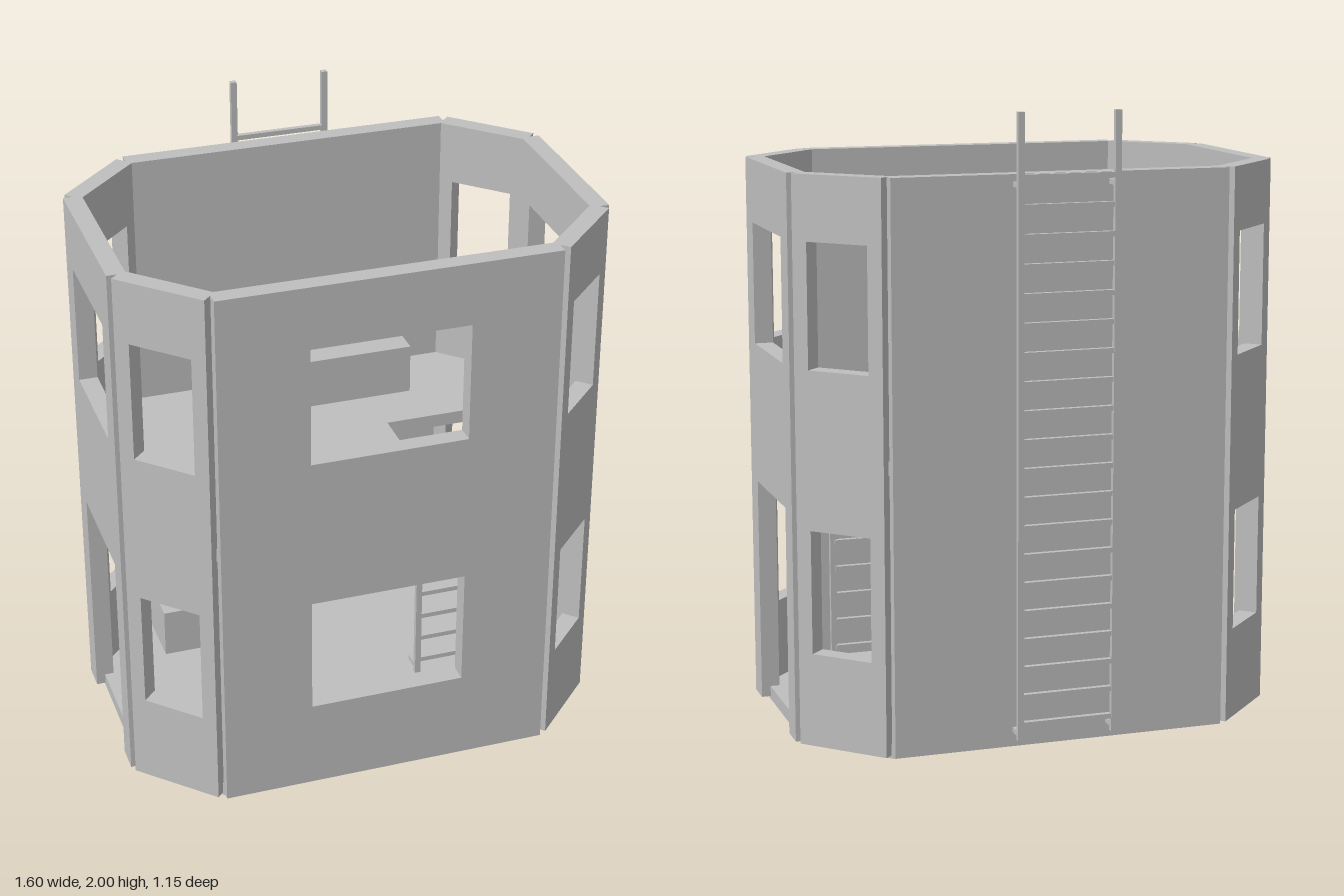
import * as THREE from 'three';

const grey = new THREE.MeshStandardMaterial({ color: 0xbfbfbf });
grey.name = 'plain grey';
const WALL = 0.06, BASE = 0.01, TOP = 1.81, MID_Z = 0.03, STOREY = 0.9, SLAB = 0.045;

function add(parent, name, geometry) {
  const mesh = new THREE.Mesh(geometry, grey);
  mesh.name = name;
  parent.add(mesh);
  return mesh;
}

// box given by its low and high corners
function block(parent, name, a, b) {
  const g = new THREE.BoxGeometry(b[0] - a[0], b[1] - a[1], b[2] - a[2]);
  g.translate((a[0] + b[0]) / 2, (a[1] + b[1]) / 2, (a[2] + b[2]) / 2);
  return add(parent, name, g);
}

const shapeOf = (pts) => new THREE.Shape(pts.map((p) => new THREE.Vector2(...p)));
const rectHole = (x0, y0, x1, y1) =>
  new THREE.Path([[x0, y0], [x0, y1], [x1, y1], [x1, y0]].map((p) => new THREE.Vector2(...p)));

// wall panel: outer face at local z = 0, facing outwards
function panel(parent, name, { half, win = 0, door = false, x, z, angle }) {
  const outline = [[-half, BASE]];
  if (door) outline.push([-win, BASE], [-win, 0.75], [win, 0.75], [win, BASE]);
  outline.push([half, BASE], [half, TOP], [-half, TOP]);
  const shape = shapeOf(outline);
  if (win) {
    if (!door) shape.holes.push(rectHole(-win, 0.31, win, 0.705));
    shape.holes.push(rectHole(-win, 1.21, win, 1.605));
  }
  const g = new THREE.ExtrudeGeometry(shape, { depth: WALL, bevelEnabled: false });
  g.translate(0, 0, -WALL);
  const mesh = add(parent, name, g);
  mesh.position.set(x, 0, MID_Z + z);
  mesh.rotation.y = angle;
}

// eight-sided floor slab reaching halfway into the walls
function floor(parent, name, y, hole) {
  const [a, b, c, d] = [0.77, 0.2875, 0.5425, 0.515];
  const shape = shapeOf(
    [[a, -b], [a, b], [c, d], [-c, d], [-a, b], [-a, -b], [-c, -d], [c, -d]]
      .map(([x, z]) => [x, z - MID_Z]));
  if (hole) shape.holes.push(hole);
  const g = new THREE.ExtrudeGeometry(shape, { depth: SLAB, bevelEnabled: false });
  g.rotateX(-Math.PI / 2);
  add(parent, name, g).position.y = y;
}

// ladder with local z = 0 at the rail centre and brackets running to z = reach
function ladder(parent, name, { x, z, y0, y1, rungs, brackets, reach }) {
  const group = new THREE.Group();
  group.name = name;
  for (const s of [-1, 1]) {
    const c = s * 0.155;
    block(group, 'rail', [c - 0.01, y0, -0.009], [c + 0.01, y1, 0.009]);
    for (const y of brackets)
      block(group, 'bracket', [c - 0.008, y - 0.008, Math.min(0, reach)], [c + 0.008, y + 0.008, Math.max(0, reach)]);
  }
  const dz = Math.sign(reach) * 0.003;
  for (let i = 0; i < rungs; i++) {
    const y = y0 + 0.05 + i * 0.09;
    block(group, 'rung', [-0.15, y - 0.008, dz - 0.009], [0.15, y + 0.008, dz + 0.009]);
  }
  group.position.set(x, 0, z);
  parent.add(group);
}

export function createModel() {
  const model = new THREE.Group();
  model.name = 'tower';

  // long walls: windows in front, solid at the back
  panel(model, 'frontWall', { half: 0.545, win: 0.255, x: 0, z: 0.545, angle: 0 });
  panel(model, 'backWall', { half: 0.545, x: 0, z: -0.545, angle: Math.PI });

  // side walls with doors, and corner walls
  for (const s of [-1, 1]) {
    panel(model, 'sideWall', { half: 0.2875, win: 0.198, door: true, x: s * 0.8, z: 0, angle: s * Math.PI / 2 });
    for (const t of [-1, 1])
      panel(model, 'cornerWall', {
        half: 0.156, win: 0.106, x: s * 0.68, z: t * 0.42, angle: Math.atan2(s, t),
      });
  }

  // floors, the upper one with a hatch
  floor(model, 'lowerFloor', 0);
  floor(model, 'upperFloor', STOREY, rectHole(0.205, -0.445, 0.63, 0.035));

  // benches against the back wall
  block(model, 'lowerBench', [-0.54, SLAB, -0.457], [-0.11, SLAB + 0.17, -0.22]);
  block(model, 'upperBench', [-0.08, STOREY + SLAB, -0.457], [0.35, STOREY + SLAB + 0.17, -0.22]);

  // ladders
  ladder(model, 'outerLadder', { x: 0, z: -0.566, y0: 0.045, y1: 2, rungs: 20, brackets: [0.065, 1.78], reach: 0.053 });
  ladder(model, 'innerLadder', { x: 0.415, z: 0.147, y0: 0.045, y1: 0.945, rungs: 10, brackets: [0.065, 0.86], reach: -0.065 });

  return model;
}
